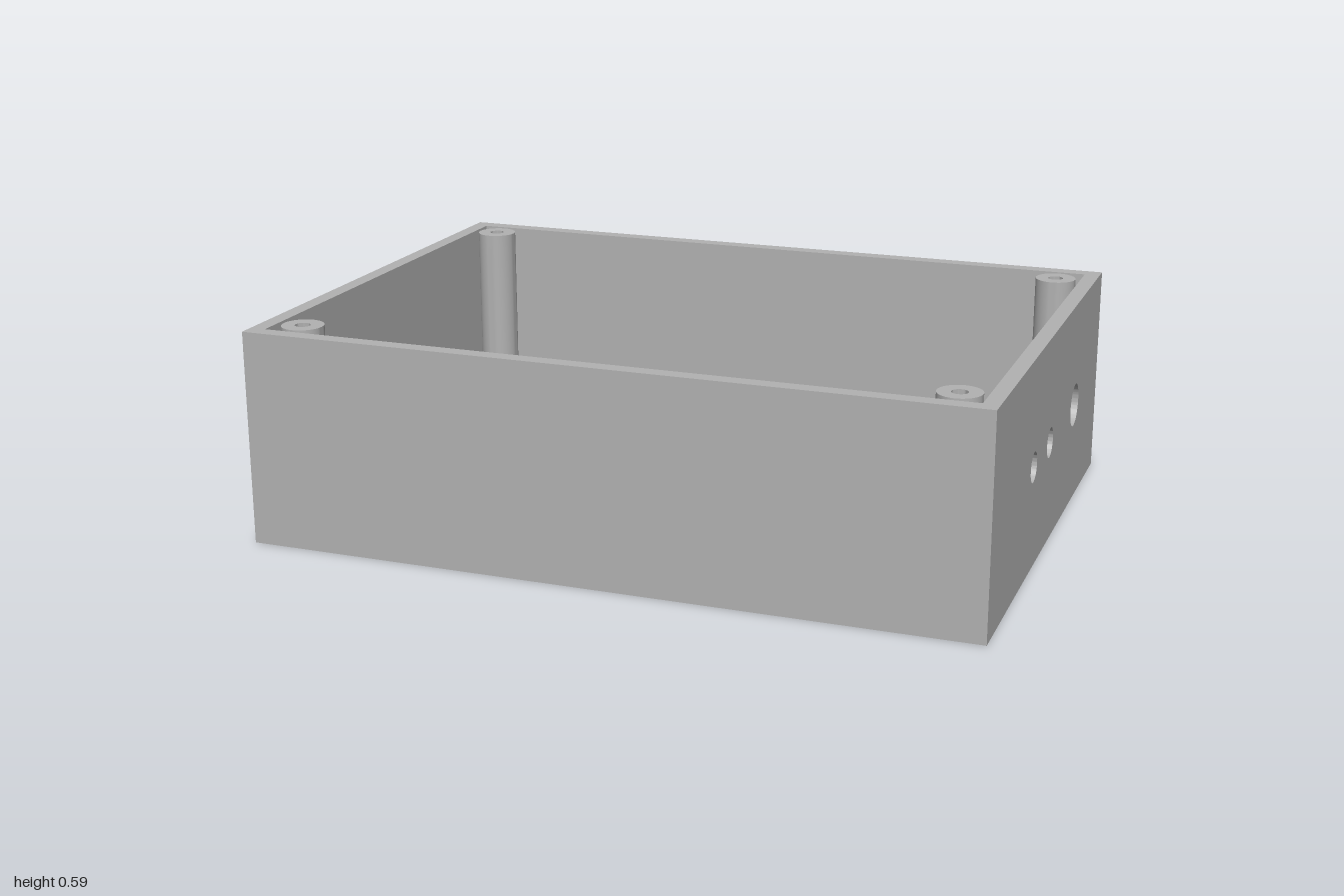
import * as THREE from 'three';
import { toCreasedNormals } from 'three/addons/utils/BufferGeometryUtils.js';

const W = 2, D = 1.43, H = 0.588, T = 0.043; // outer size and wall thickness

function circleHole(z, y, r) {
  return new THREE.Path().absarc(z, y, r, 0, Math.PI * 2, true);
}

function rectHole(z0, z1, y0, y1) {
  return new THREE.Path([[z0, y0], [z0, y1], [z1, y1], [z1, y0], [z0, y0]]
    .map(([z, y]) => new THREE.Vector2(z, y)));
}

// Side wall drawn in (z, y) and extruded inward from its outer x
function sideWall(holes, outerX) {
  const shape = new THREE.Shape([[-D / 2, 0], [D / 2, 0], [D / 2, H], [-D / 2, H]]
    .map(([z, y]) => new THREE.Vector2(z, y)));
  shape.holes.push(...holes);
  const geo = new THREE.ExtrudeGeometry(shape, { depth: T, bevelEnabled: false, curveSegments: 48 });
  geo.rotateY(-Math.PI / 2).translate(outerX, 0, 0);
  return toCreasedNormals(geo, 0.6);
}

// Hollow screw post standing on the floor
function postGeometry() {
  const R = 0.057, r = 0.021;
  const profile = [[R, T], [R, H], [r, H], [r, T], [0, T]].map(([x, y]) => new THREE.Vector2(x, y));
  return toCreasedNormals(new THREE.LatheGeometry(profile, 48), 0.6);
}

export function createModel() {
  const group = new THREE.Group();
  const grey = new THREE.MeshStandardMaterial({ color: 0xb2b2b2 });
  grey.name = 'caseGrey';

  const add = (name, geo, x = 0, y = 0, z = 0) => {
    const mesh = new THREE.Mesh(geo, grey);
    mesh.name = name;
    mesh.position.set(x, y, z);
    group.add(mesh);
  };

  // Floor, front and back fit between the two side walls
  const innerW = W - 2 * T;
  add('floor', new THREE.BoxGeometry(innerW, T, D - 2 * T), 0, T / 2, 0);
  const longWall = new THREE.BoxGeometry(innerW, H, T);
  add('frontWall', longWall, 0, H / 2, D / 2 - T / 2);
  add('backWall', longWall, 0, H / 2, -D / 2 + T / 2);

  // Side walls with connector openings
  add('wallWithRoundHoles', sideWall([
    circleHole(0.215, 0.288, 0.041),
    circleHole(0, 0.288, 0.041),
    circleHole(-0.357, 0.288, 0.06),
  ], W / 2), 0, 0, 0);
  add('wallWithSlot', sideWall([rectHole(0.345, 0.54, 0.17, 0.285)], -W / 2 + T));

  // Four corner screw posts
  const post = postGeometry();
  for (const sx of [-1, 1]) {
    for (const sz of [-1, 1]) add('screwPost', post, sx * 0.886, 0, sz * 0.6);
  }
  return group;
}
